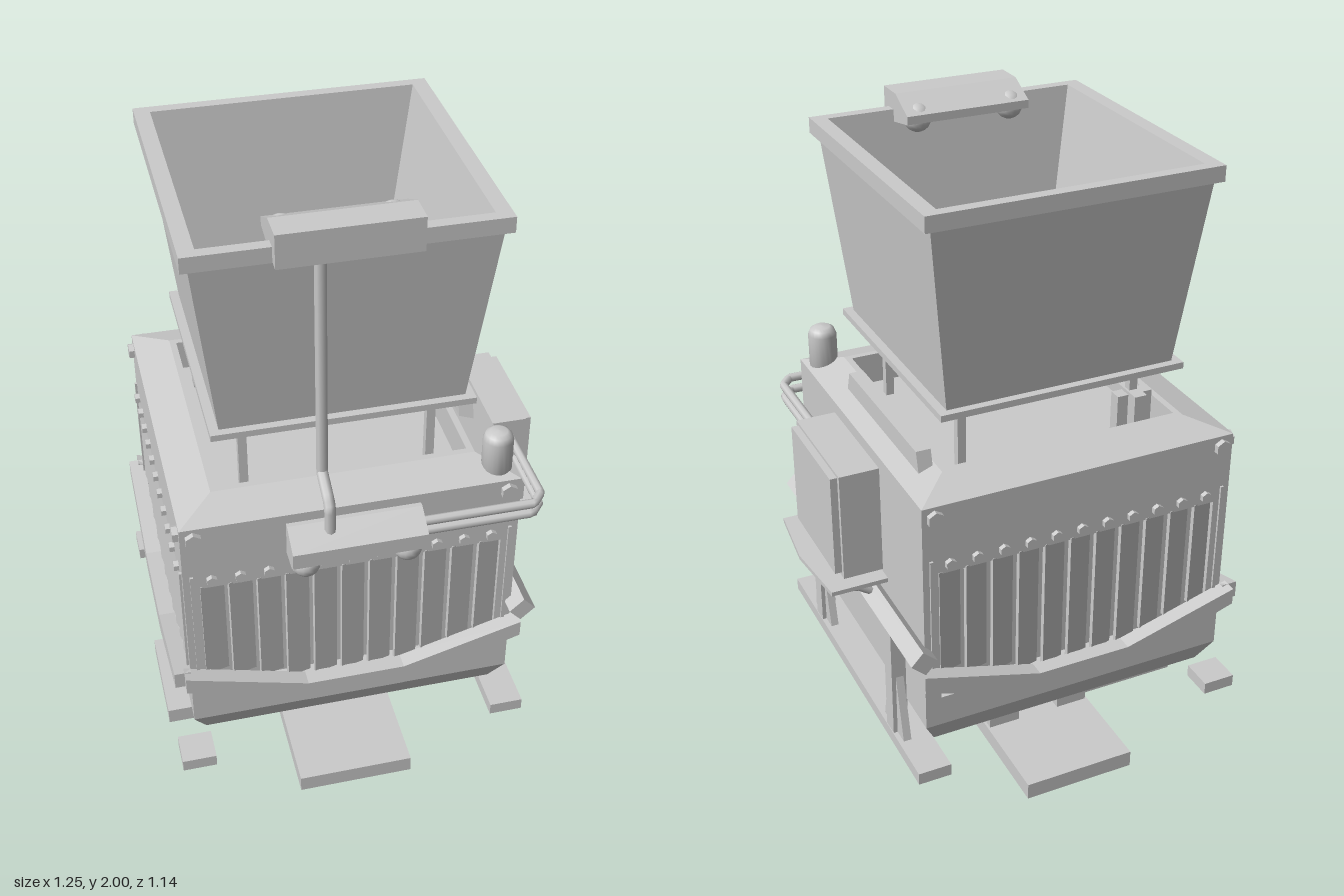
import * as THREE from 'three';

const CX = -0.078, CZ = -0.02; // centre of the square housing

export function createModel() {
  const root = new THREE.Group();
  const mat = new THREE.MeshStandardMaterial({ color: 0xcccccc, flatShading: true });
  const smooth = new THREE.MeshStandardMaterial({ color: 0xcccccc });

  const add = (name, geo, x = 0, y = 0, z = 0, parent = root, m = mat) => {
    const mesh = new THREE.Mesh(geo, m);
    mesh.name = name;
    mesh.position.set(x, y, z);
    parent.add(mesh);
    return mesh;
  };
  // box given by its limits
  const box = (name, x0, x1, y0, y1, z0, z1, parent = root) =>
    add(name, new THREE.BoxGeometry(x1 - x0, y1 - y0, z1 - z0),
      (x0 + x1) / 2, (y0 + y1) / 2, (z0 + z1) / 2, parent);
  const shape = (pts) => new THREE.Shape(pts.map((p) => new THREE.Vector2(p[0], p[1])));
  const extrude = (s, depth) => new THREE.ExtrudeGeometry(s, { depth, bevelEnabled: false, curveSegments: 6 });
  // profile given as (z, y), extruded along x
  const extrudeX = (name, pts, x0, x1) => {
    const g = extrude(shape(pts.map(([z, y]) => [-z, y])), x1 - x0);
    g.rotateY(Math.PI / 2);
    return add(name, g, x0);
  };
  // skin through rectangular loops [width, depth, y]
  const rectLoft = (loops) => {
    const pos = [];
    const corner = ([w, d, y], k) => {
      const [sx, sz] = [[-1, 1], [1, 1], [1, -1], [-1, -1]][k % 4];
      return [sx * w / 2, y, sz * d / 2];
    };
    for (let i = 0; i < loops.length - 1; i++) {
      for (let k = 0; k < 4; k++) {
        const a = corner(loops[i], k), b = corner(loops[i], k + 1);
        const c = corner(loops[i + 1], k + 1), d = corner(loops[i + 1], k);
        pos.push(...a, ...b, ...c, ...a, ...c, ...d);
      }
    }
    const g = new THREE.BufferGeometry();
    g.setAttribute('position', new THREE.Float32BufferAttribute(pos, 3));
    g.computeVertexNormals();
    return g;
  };
  const pipe = (name, pts, r, sides = 8) => {
    const path = new THREE.CurvePath();
    const v = pts.map((p) => new THREE.Vector3(...p));
    for (let i = 0; i < v.length - 1; i++) path.add(new THREE.LineCurve3(v[i], v[i + 1]));
    const g = new THREE.TubeGeometry(path, 60, r, sides, false);
    add(name, g, 0, 0, 0, root, smooth);
  };

  // Housing: tapered underside, inner core, chamfered rim with open well
  add('housingBottom', rectLoft([[0, 0, 0.28], [0.92, 0.92, 0.28], [1, 1, 0.36], [0, 0, 0.36]]), CX, 0, CZ);
  box('innerCore', CX - 0.45, CX + 0.45, 0.36, 1.05, CZ - 0.45, CZ + 0.45);
  add('housingRim', rectLoft([[1, 1, 1.125], [0.78, 0.78, 1.16], [0.74, 0.74, 1.16],
    [0.74, 0.74, 1.06], [0, 0, 1.06]]), CX, 0, CZ);
  box('rightWall', CX + 0.45, CX + 0.5, 0.36, 1.125, CZ - 0.5, CZ + 0.5);

  // Louvred sides: front, back and left-hand wall
  const ledgeY = (x) => 0.485 + 0.1 * Math.max(0, (Math.abs(x) - 0.15) / 0.35);
  [0, Math.PI, -Math.PI / 2].forEach((angle, i) => {
    const side = new THREE.Group();
    side.name = ['frontSide', 'backSide', 'leftSide'][i];
    side.position.set(CX, 0, CZ);
    side.rotation.y = angle;
    root.add(side);

    const wall = shape([[-0.5, 0.36], [0.5, 0.36], [0.5, 1.125], [-0.5, 1.125]]);
    wall.holes.push(shape([[-0.465, 0.46], [-0.465, 0.9], [0.465, 0.9], [0.465, 0.46]]));
    add('wall', extrude(wall, 0.05), 0, 0, 0.45, side);

    const boltGeo = new THREE.CylinderGeometry(0.017, 0.017, 0.02, 6).rotateX(Math.PI / 2);
    for (let k = -5; k <= 5; k++) {
      const x = k * 0.0835, y0 = ledgeY(x) - 0.01;
      const slat = add('slat', new THREE.BoxGeometry(0.074, 0.905 - y0, 0.012), x, (0.905 + y0) / 2, 0.488, side);
      slat.rotation.y = 0.25;
      add('railBolt', boltGeo, x, 0.93, 0.505, side);
    }
    for (const s of [-1, 1]) {
      box('edgeStrip', s * 0.475 - 0.005, s * 0.475 + 0.005, 0.58, 0.95, 0.495, 0.507, side);
      const b = add('cornerBolt', boltGeo, s * 0.462, 1.09, 0.505, side);
      b.scale.set(1.5, 1.5, 1.2);
    }
    // V-shaped deflector ledge
    const ledge = shape([[-0.52, 0.535], [-0.15, 0.415], [0.15, 0.415], [0.52, 0.535],
      [0.52, 0.59], [0.15, 0.485], [-0.15, 0.485], [-0.52, 0.59]]);
    add('ledge', extrude(ledge, 0.05), 0, 0, 0.5, side);
  });

  // Straight tilted rail on the right wall, with its stands and foot plank
  const rail = add('sideRail', new THREE.BoxGeometry(0.06, 0.055, 1.1), 0.443, 0.643, CZ);
  rail.rotation.z = 0.75;
  for (const z of [0.3, -0.34]) {
    box('railPost', 0.42, 0.468, 0.235, 0.625, z - 0.027, z + 0.027);
    extrudeX('railGusset', [[z - 0.078, 0.235], [z + 0.078, 0.235], [z + 0.027, 0.45], [z - 0.027, 0.45]], 0.43, 0.455);
  }
  box('footPlank', 0.365, 0.47, 0.2, 0.24, -0.57, 0.535);
  for (const z of [0.483, -0.518]) box('cornerPad', -0.63, -0.525, 0.2, 0.24, z - 0.052, z + 0.052);

  // T-shaped base and cranked legs
  box('basePlate', -0.26, 0.105, 0, 0.055, -0.57, 0.535);
  box('baseArm', -0.63, -0.26, 0, 0.055, -0.19, 0.15);
  for (const z of [0.2, -0.24]) {
    for (const s of [-1, 1]) {
      const pts = [[0.07, 0.05], [0.175, 0.05], [0.175, 0.125], [0.285, 0.225],
        [0.44, 0.225], [0.44, 0.285], [0.12, 0.285], [0.08, 0.245], [0.07, 0.2]];
      add('leg', extrude(shape(pts.map(([x, y]) => [s * x, y])), 0.07), CX, 0, z - 0.035);
    }
  }

  // Hopper on four posts
  add('hopper', rectLoft([[0.57, 0.614, 1.32], [0.77, 0.765, 1.32], [0.77, 0.765, 1.34], [0.716, 0.716, 1.34],
    [0.842, 0.83, 1.9], [0.886, 0.866, 1.9], [0.886, 0.866, 1.947], [0.793, 0.796, 1.947],
    [0.57, 0.614, 1.34], [0.57, 0.614, 1.32]]), -0.07, 0, -0.033);
  for (const x of [-0.355, 0.205])
    for (const z of [0.26, -0.295]) box('hopperPost', x - 0.013, x + 0.013, 1.05, 1.33, z - 0.013, z + 0.013);
  box('postClamp', -0.415, -0.3, 1.06, 1.21, -0.315, -0.275);
  box('postClamp', -0.375, -0.335, 1.06, 1.22, -0.355, -0.24);
  extrudeX('rimBlock', [[0.2, 1.13], [0.175, 1.205], [-0.35, 1.205], [-0.37, 1.13]], 0.32, 0.365);

  // Sensor heads: upper one on the hopper, lower one on the front wall
  const dome = new THREE.SphereGeometry(0.043, 16, 10);
  extrudeX('upperSensor', [[0.435, 1.9], [0.435, 2], [0.345, 2], [0.255, 1.955], [0.255, 1.93], [0.39, 1.905]], -0.275, 0.12);
  extrudeX('lowerSensor', [[0.46, 0.985], [0.46, 1.095], [0.495, 1.095], [0.57, 1.05], [0.57, 1.0], [0.55, 0.985]], -0.275, 0.12);
  for (const x of [-0.23, 0.07]) {
    add('upperDome', dome, x, 1.935, 0.3, root, smooth);
    add('lowerDome', dome, x, 0.983, 0.528, root, smooth);
  }
  pipe('sensorPole', [[-0.155, 1.91, 0.418], [-0.155, 1.21, 0.418], [-0.155, 1.17, 0.5],
    [-0.155, 1.15, 0.515], [-0.155, 1.07, 0.515]], 0.017);

  // Beacon on the front right corner
  const cap = [[0, 1.1], [0.045, 1.1], [0.045, 1.235], [0.038, 1.253], [0.025, 1.261], [0, 1.263]];
  add('beacon', new THREE.LatheGeometry(cap.map((p) => new THREE.Vector2(...p)), 20), 0.365, 0, 0.415, root, smooth);

  // Control cabinet, its tray and the two cable pipes
  box('cabinet', 0.42, 0.546, 0.735, 1.087, -0.205, 0.165);
  box('cabinetDoor', 0.546, 0.568, 0.75, 1.078, -0.19, 0.15);
  const tray = extrude(shape([[0.42, -0.2], [0.6, -0.2], [0.623, 0.02], [0.6, 0.245], [0.42, 0.245]]), 0.014);
  add('tray', tray.rotateX(-Math.PI / 2), 0, 0.713, 0);
  for (const z of [0.14, -0.2])
    pipe('trayBracket', [[0.455, 0.66, z], [0.5, 0.69, z], [0.58, 0.705, z]], 0.012, 6);
  pipe('upperCable', [[0.11, 1.05, 0.51], [0.455, 1.05, 0.51], [0.488, 1.05, 0.47], [0.488, 1.05, 0.16]], 0.014);
  pipe('lowerCable', [[0.11, 1.01, 0.505], [0.455, 1.01, 0.505], [0.488, 1.01, 0.465], [0.488, 1.01, 0.25],
    [0.488, 0.95, 0.2], [0.488, 0.765, 0.2], [0.488, 0.765, 0.16]], 0.014);

  return root;
}
